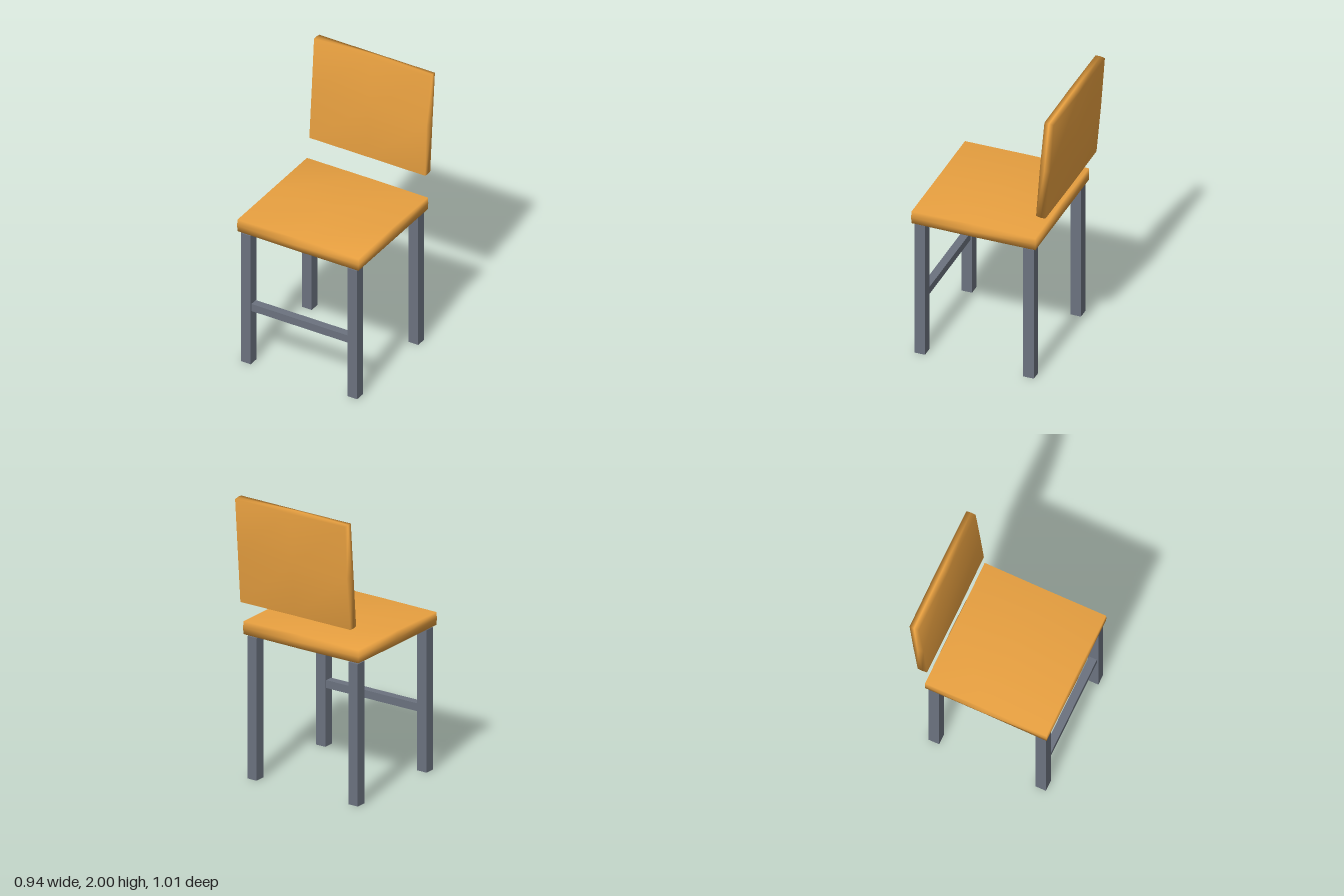
import * as THREE from 'three';
import { mergeVertices } from 'three/addons/utils/BufferGeometryUtils.js';

const cushionMaterial = new THREE.MeshStandardMaterial({ color: 0xe8a040 });
const frameMaterial = new THREE.MeshStandardMaterial({ color: 0x6b727f });

// Coarse pillow: a 2x2x2 box whose edges and corners are drawn in, with welded smooth normals.
// "thin" is the index of the thickness axis; half holds the half sizes.
function cushion(name, half, thin) {
  const box = new THREE.BoxGeometry(2, 2, 2, 2, 2, 2);
  box.deleteAttribute('normal');
  box.deleteAttribute('uv');
  const geometry = mergeVertices(box);
  const pos = geometry.attributes.position;
  for (let i = 0; i < pos.count; i++) {
    const s = [pos.getX(i), pos.getY(i), pos.getZ(i)].map(Math.round);
    const k = s.filter((v) => v !== 0).length; // 1 face centre, 2 edge middle, 3 corner
    const p = s.map((v, axis) => {
      let inset = 0;
      if (axis === thin) inset = [0, 0, 0.004, 0.008][k];
      else if (k === 2) inset = s[thin] === 0 ? 0.008 : 0.013;
      else if (k === 3) inset = 0.01;
      return v * (half[axis] - inset);
    });
    pos.setXYZ(i, ...p);
  }
  geometry.computeVertexNormals();
  const mesh = new THREE.Mesh(geometry, cushionMaterial);
  mesh.name = name;
  return mesh;
}

function bar(name, w, h, d, x, y, z) {
  const mesh = new THREE.Mesh(new THREE.BoxGeometry(w, h, d), frameMaterial);
  mesh.name = name;
  mesh.position.set(x, y, z);
  return mesh;
}

export function createModel() {
  const chair = new THREE.Group();
  chair.name = 'chair';

  // Seat
  const seat = cushion('seat', [0.47, 0.0525, 0.445], 1);
  seat.position.set(0, 1.05, 0.055);
  chair.add(seat);

  // Backrest, leaning backwards
  const backrest = cushion('backrest', [0.45, 0.378, 0.041], 2);
  backrest.position.set(0, 1.622, -0.439);
  backrest.rotation.x = -0.08;
  chair.add(backrest);

  // Legs
  for (const [side, x] of [['Left', 0.405], ['Right', -0.405]]) {
    chair.add(bar('front' + side + 'Leg', 0.075, 0.99, 0.075, x, 0.495, 0.44));
    chair.add(bar('back' + side + 'Leg', 0.075, 0.99, 0.075, x, 0.495, -0.325));
  }

  // Crossbar between the front legs
  chair.add(bar('frontCrossbar', 0.74, 0.055, 0.055, 0, 0.434, 0.44));
  return chair;
}
